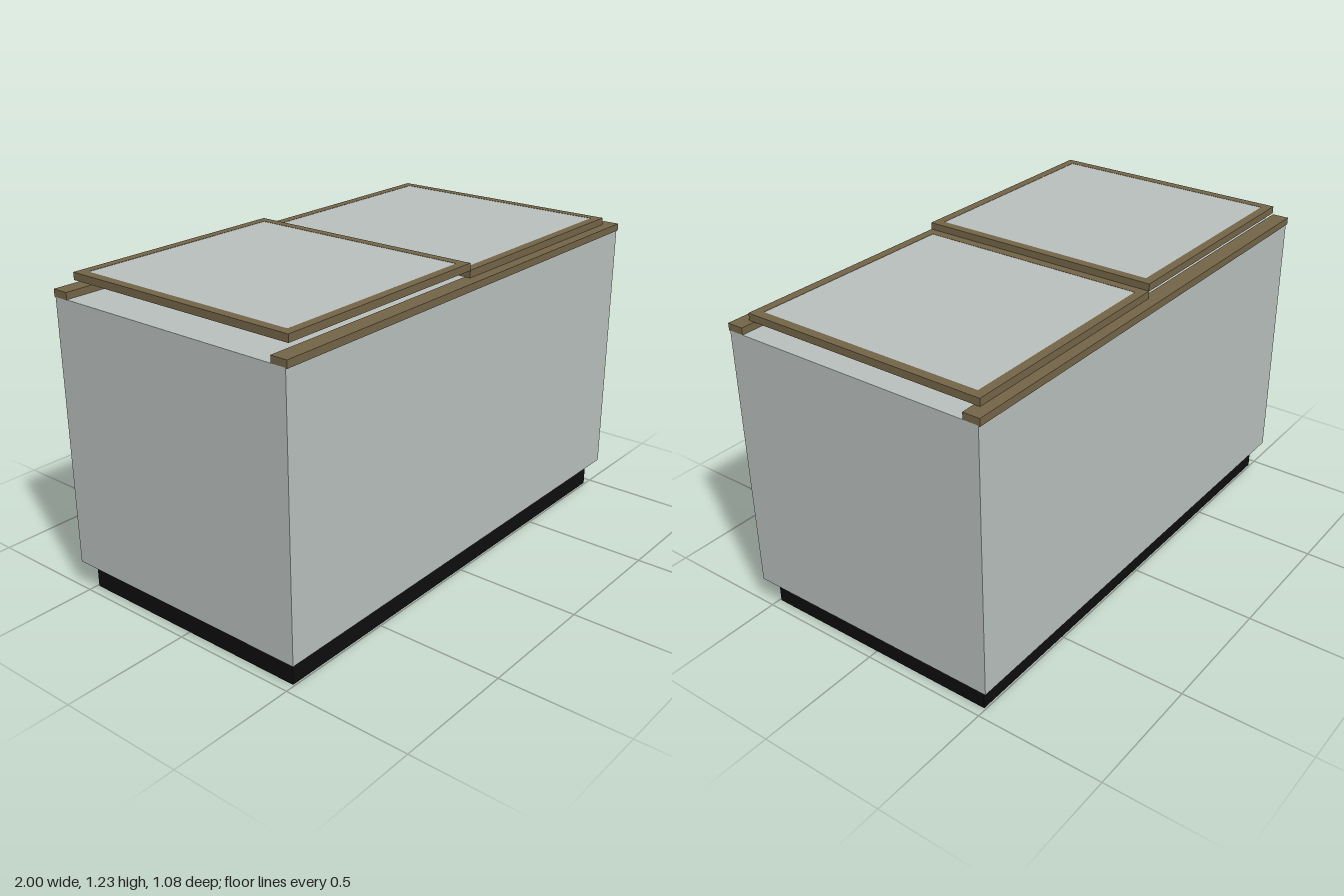
import * as THREE from 'three';

const enamel = new THREE.MeshStandardMaterial({ color: 0xb8bfbc });
enamel.name = 'pale grey enamel';
const bronze = new THREE.MeshStandardMaterial({ color: 0x736447 });
bronze.name = 'bronze trim';
const black = new THREE.MeshStandardMaterial({ color: 0x0d0d0d });
black.name = 'black plinth';

// Box given by its size, centre x/z and bottom height
function box(name, material, w, h, d, x, bottom, z) {
  const mesh = new THREE.Mesh(new THREE.BoxGeometry(w, h, d), material);
  mesh.name = name;
  mesh.position.set(x, bottom + h / 2, z);
  return mesh;
}

// Sliding lid: a rectangular frame with a flush panel set into it
function slidingLid(name, x, bottom) {
  const w = 0.945, d = 0.99, h = 0.028, rim = 0.036;
  const iw = w - 2 * rim, id = d - 2 * rim;
  const lid = new THREE.Group();
  lid.name = name;
  const outline = new THREE.Shape([
    new THREE.Vector2(-w / 2, -d / 2), new THREE.Vector2(w / 2, -d / 2),
    new THREE.Vector2(w / 2, d / 2), new THREE.Vector2(-w / 2, d / 2),
  ]);
  outline.holes.push(new THREE.Path([
    new THREE.Vector2(-iw / 2, -id / 2), new THREE.Vector2(-iw / 2, id / 2),
    new THREE.Vector2(iw / 2, id / 2), new THREE.Vector2(iw / 2, -id / 2),
  ]));
  const geometry = new THREE.ExtrudeGeometry(outline, { depth: h, bevelEnabled: false });
  geometry.rotateX(-Math.PI / 2);
  const frame = new THREE.Mesh(geometry, bronze);
  frame.name = 'lidFrame';
  lid.add(frame, box('lidPanel', enamel, iw, h - 0.002, id, 0, 0.001, 0));
  lid.position.set(x, bottom, 0);
  return lid;
}

export function createModel() {
  const model = new THREE.Group();
  model.name = 'chestFreezer';

  // Recessed plinth and cabinet
  model.add(box('plinth', black, 1.92, 0.11, 0.986, 0, 0, 0));
  model.add(box('cabinet', enamel, 2, 1.04, 1.064, 0, 0.11, 0));

  // Rails along the front and back edges
  for (const side of [1, -1]) {
    model.add(box(side > 0 ? 'frontRail' : 'backRail', bronze, 2, 0.028, 0.066, 0, 1.148, side * 0.505));
  }

  // Two lids on separate levels so one slides over the other
  model.add(slidingLid('lowerLid', 0.4725, 1.176));
  model.add(slidingLid('upperLid', -0.4725, 1.203));
  return model;
}
